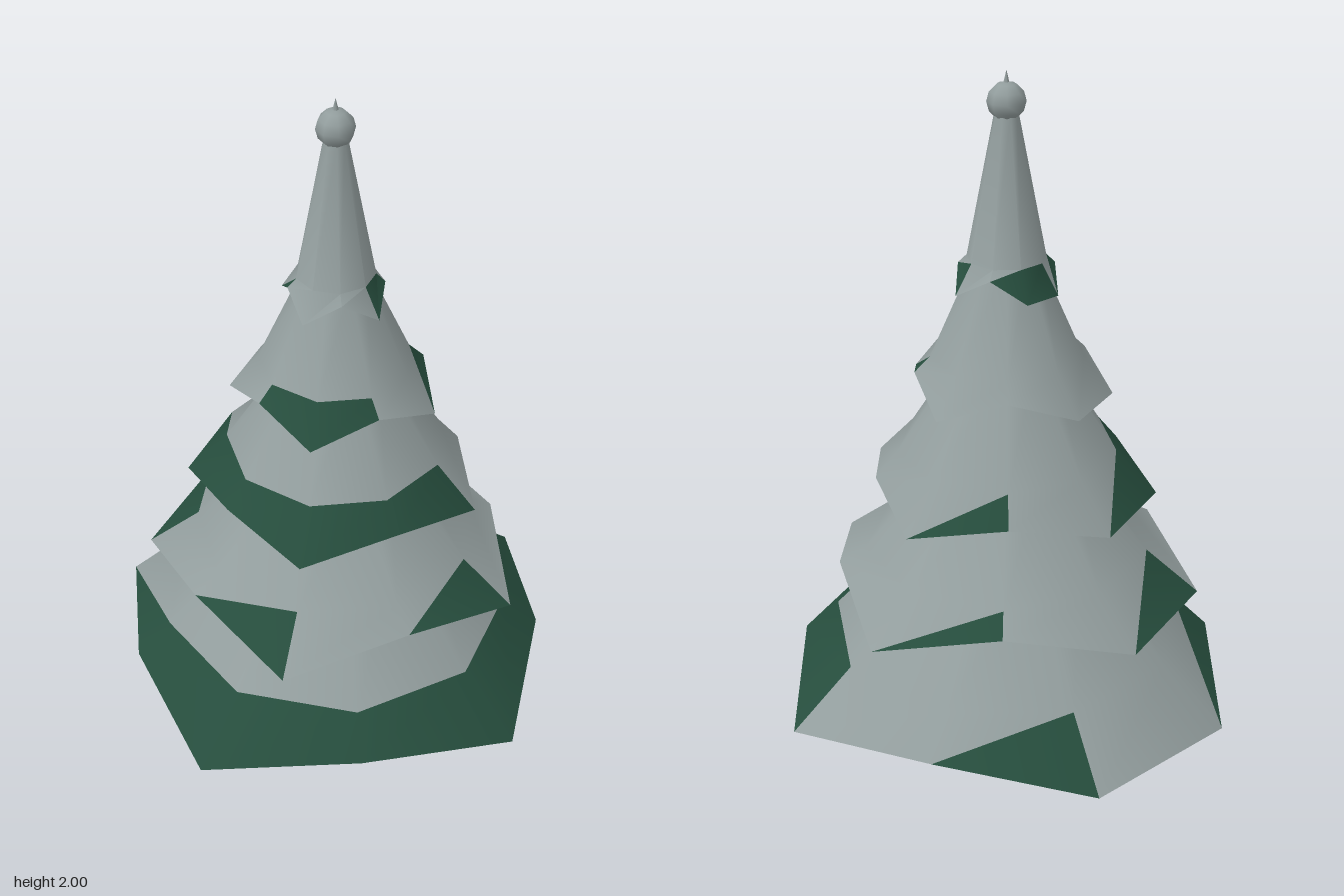
import * as THREE from 'three';
import { toCreasedNormals } from 'three/addons/utils/BufferGeometryUtils.js';

const SIDES = 9;

// Each tier: start angle (degrees), rim radii and heights for tips and notches,
// then [radius, height] of the band, the top and the hole in the underside.
// full: band segments left green; half: segments with only the lower triangle green.
const TIERS = [
  { start: 207, tip: [0.72, 0.14], notch: [0.635, 0.2], band: [0.53, 0.3], top: [0.24, 0.62], hole: [0.165, 0.235], full: [2, 3, 4, 5, 6], half: [0, 7] },
  { start: 189, tip: [0.575, 0.46], notch: [0.5, 0.54], band: [0.42, 0.585], top: [0.165, 0.9], hole: [0.22, 0.56], full: [], half: [1, 4, 6, 8] },
  { start: 187, tip: [0.44, 0.77], notch: [0.385, 0.82], band: [0.32, 0.9], top: [0.125, 1.2], hole: [0.15, 0.85], full: [4, 5, 6, 7], half: [1, 8] },
  { start: 187, tip: [0.305, 1.08], notch: [0.265, 1.145], band: [0.22, 1.19], top: [0.09, 1.48], hole: [0.1, 1.16], full: [5, 6], half: [3] },
  { start: 207, tip: [0.163, 1.39], notch: [0.137, 1.45], band: [0.112, 1.475], top: [0.032, 1.89], hole: [0.06, 1.45], full: [3, 8], half: [0, 2, 7] },
];

// Ring of points; the profile function gives [radius, height] for each corner
function ring(start, profile) {
  return Array.from({ length: SIDES }, (_, k) => {
    const [r, y] = profile(k);
    const a = THREE.MathUtils.degToRad(start + (360 / SIDES) * k);
    return [r * Math.cos(a), y, r * Math.sin(a)];
  });
}

// Geometry from lists of triangles, one material group per list
function fromTriangles(lists, crease) {
  const geo = new THREE.BufferGeometry();
  geo.setAttribute('position', new THREE.Float32BufferAttribute(lists.flat(3), 3));
  let first = 0;
  lists.forEach((list, i) => {
    geo.addGroup(first, list.length * 3, i);
    first += list.length * 3;
  });
  return toCreasedNormals(geo, crease);
}

export function createModel() {
  const mat = (name, color) => {
    const m = new THREE.MeshStandardMaterial({ color, side: THREE.DoubleSide });
    m.name = name;
    return m;
  };
  const snow = mat('snow', 0x929d9d);
  const needles = mat('needles', 0x264d3d);
  const bark = mat('bark', 0x4e2c20);

  const model = new THREE.Group();
  model.name = 'snowyTree';
  const tree = new THREE.Group();
  tree.name = 'tree';
  tree.position.set(-0.01, 0, -0.012);
  model.add(tree);

  const add = (name, geo, material, y = 0) => {
    const mesh = new THREE.Mesh(geo, material);
    mesh.name = name;
    mesh.position.y = y;
    tree.add(mesh);
  };

  // Trunk
  add('trunk', new THREE.CylinderGeometry(0.044, 0.052, 0.5, 10), bark, 0.25);

  // Branch tiers with zigzag rims, patchy snow and a dished underside
  TIERS.forEach((t, i) => {
    const rim = ring(t.start, k => (k % 2 ? t.notch : t.tip));
    const band = ring(t.start, () => t.band);
    const top = ring(t.start, () => t.top);
    const hole = ring(t.start, () => t.hole);
    const white = [], green = [], under = [];
    for (let k = 0; k < SIDES; k++) {
      const n = (k + 1) % SIDES;
      const full = t.full.includes(k);
      white.push([top[k], top[n], band[n]], [top[k], band[n], band[k]]);
      (full ? green : white).push([band[k], band[n], rim[n]]);
      (full || t.half.includes(k) ? green : white).push([band[k], rim[n], rim[k]]);
      under.push([rim[k], rim[n], hole[n]], [rim[k], hole[n], hole[k]]);
    }
    add(`branchTier${i + 1}`, fromTriangles([white, green], 0.75), [snow, needles]);
    add(`tierUnderside${i + 1}`, fromTriangles([under], 0.6), [needles]);
  });

  // Ball and point at the top
  add('topBall', new THREE.SphereGeometry(0.054, 8, 6), snow, 1.915);
  add('topPoint', new THREE.ConeGeometry(0.012, 0.05, 6), snow, 1.975);

  return model;
}
